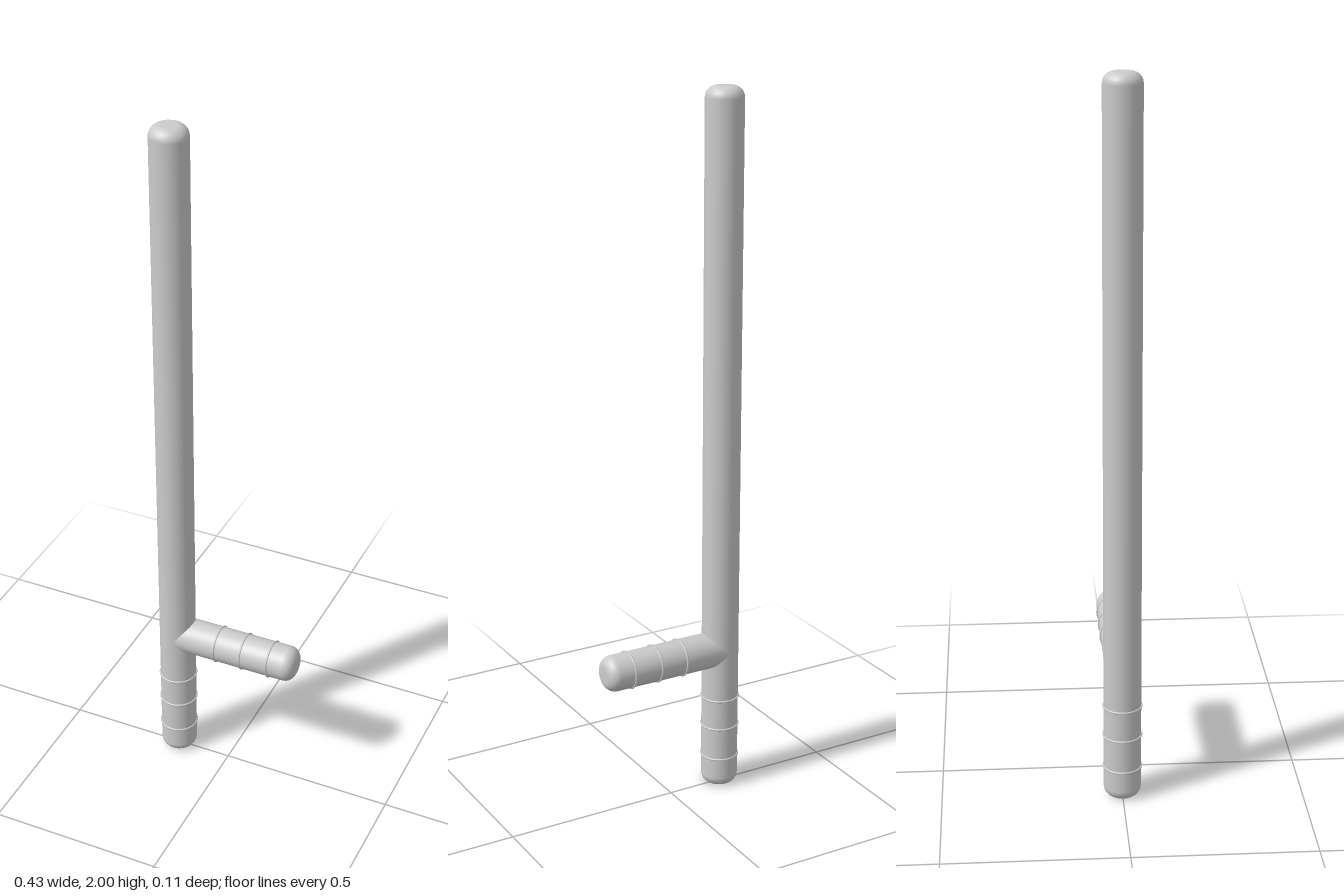
import * as THREE from 'three';

const material = new THREE.MeshStandardMaterial({ color: 0xcccccc });

// Rod along +y from 0 to length, with rounded rims around flat ends
function roundedRod(name, radius, length, rim, roundStart = true) {
  const points = [new THREE.Vector2(0, 0)];
  const steps = 6;
  const arc = (i) => (i / steps) * Math.PI / 2;
  if (roundStart) {
    for (let i = 0; i <= steps; i++) {
      points.push(new THREE.Vector2(radius - rim + rim * Math.sin(arc(i)), rim - rim * Math.cos(arc(i))));
    }
  } else {
    points.push(new THREE.Vector2(radius, 0));
  }
  for (let i = 0; i <= steps; i++) {
    points.push(new THREE.Vector2(radius - rim + rim * Math.cos(arc(i)), length - rim + rim * Math.sin(arc(i))));
  }
  points.push(new THREE.Vector2(0, length));
  const mesh = new THREE.Mesh(new THREE.LatheGeometry(points, 32), material);
  mesh.name = name;
  return mesh;
}

// Thin grip rings around a rod's y axis
function addRings(group, name, radius, heights) {
  const geometry = new THREE.TorusGeometry(radius, 0.003, 8, 32).rotateX(Math.PI / 2);
  heights.forEach((y, i) => {
    const ring = new THREE.Mesh(geometry, material);
    ring.name = name + (i + 1);
    ring.position.y = y;
    group.add(ring);
  });
}

export function createModel() {
  const model = new THREE.Group();
  model.name = 'sideHandleBaton';
  const shaftX = -0.16;

  // Long upright shaft with rings on its lower grip
  const shaft = new THREE.Group();
  shaft.name = 'shaft';
  shaft.position.x = shaftX;
  shaft.add(roundedRod('shaftRod', 0.052, 2, 0.03));
  addRings(shaft, 'shaftRing', 0.0525, [0.09, 0.185, 0.273]);
  model.add(shaft);

  // Side handle, starting inside the shaft and pointing to +x
  const handle = new THREE.Group();
  handle.name = 'sideHandle';
  handle.position.set(shaftX, 0.42, -0.001);
  handle.rotation.z = -Math.PI / 2;
  handle.add(roundedRod('handleRod', 0.051, 0.373, 0.03, false));
  addRings(handle, 'handleRing', 0.0515, [0.135, 0.215, 0.298]);
  model.add(handle);

  return model;
}
